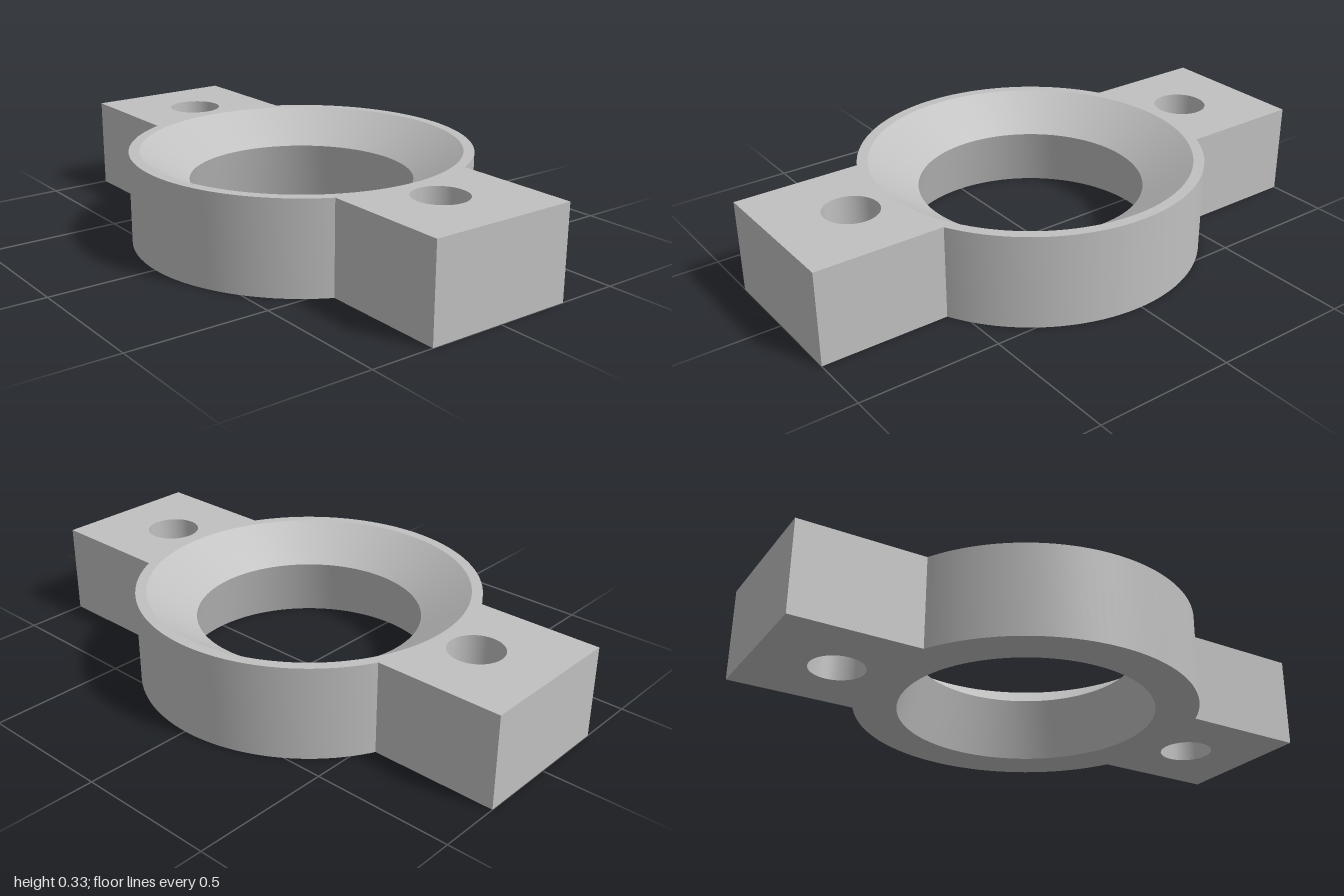
import * as THREE from 'three';
import { toCreasedNormals } from 'three/addons/utils/BufferGeometryUtils.js';

const HEIGHT = 0.333, OUTER = 0.61, TAB_HALF = 0.275;

export function createModel() {
  const group = new THREE.Group();
  group.name = 'flangedRing';
  const metal = new THREE.MeshStandardMaterial({ color: 0xc0c0c0 });
  metal.name = 'grey metal';

  // Ring: closed profile with a wide countersink above the neck and a slight flare below
  const profile = [
    [OUTER, 0], [OUTER, HEIGHT], [0.572, HEIGHT], [0.4, 0.22], [0.457, 0], [OUTER, 0],
  ].map(([r, y]) => new THREE.Vector2(r, y));
  const ring = new THREE.Mesh(
    toCreasedNormals(new THREE.LatheGeometry(profile, 128), 0.35), metal);
  ring.name = 'ring';
  group.add(ring);

  // Mounting tab: block whose inner end follows the ring, with a bolt hole
  const r = OUTER - 0.003;
  const angle = Math.asin(TAB_HALF / r);
  const shape = new THREE.Shape();
  shape.moveTo(r * Math.cos(angle), -TAB_HALF);
  shape.lineTo(1, -TAB_HALF);
  shape.lineTo(1, TAB_HALF);
  shape.lineTo(r * Math.cos(angle), TAB_HALF);
  shape.absarc(0, 0, r, angle, -angle, true);
  const hole = new THREE.Path();
  hole.absarc(0.72, 0, 0.096, 0, Math.PI * 2, true);
  shape.holes.push(hole);
  const tabGeometry = toCreasedNormals(
    new THREE.ExtrudeGeometry(shape, { depth: HEIGHT, bevelEnabled: false, curveSegments: 32 })
      .rotateX(-Math.PI / 2), 0.5);

  // The same tab turned half way round serves the other side
  ['leftTab', 'rightTab'].forEach((name, i) => {
    const tab = new THREE.Mesh(tabGeometry, metal);
    tab.name = name;
    tab.rotation.y = i * Math.PI;
    group.add(tab);
  });

  return group;
}
